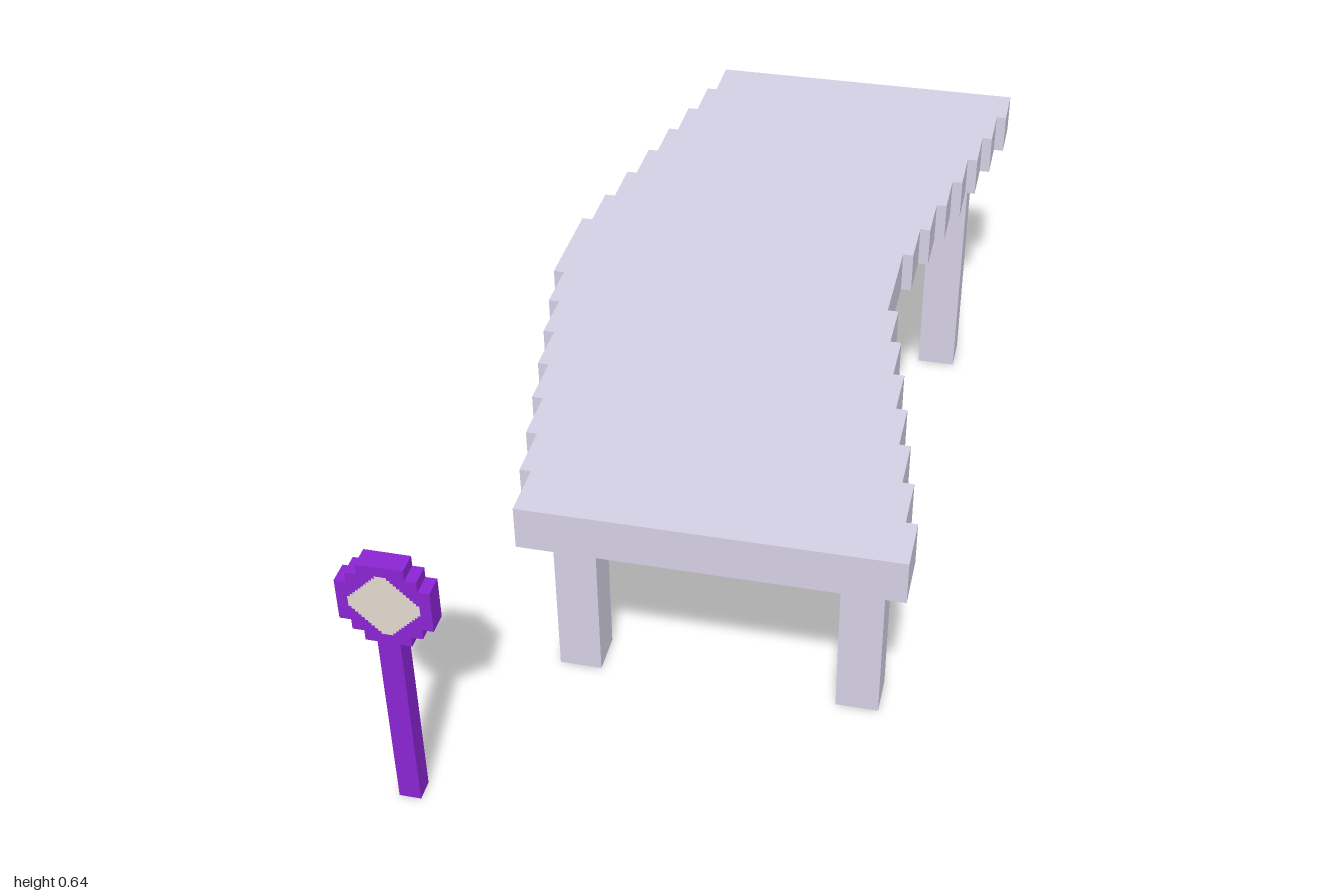
import * as THREE from 'three';

const stone = new THREE.MeshStandardMaterial({ color: 0xd4cfe3 });
stone.name = 'pale lilac';
const purple = new THREE.MeshStandardMaterial({ color: 0x8a25d2 });
purple.name = 'purple';
const cream = new THREE.MeshStandardMaterial({ color: 0xe2d9cd });
cream.name = 'warm grey';

function add(group, name, geometry, material, x, y, z) {
  const mesh = new THREE.Mesh(geometry, material);
  mesh.name = name;
  mesh.position.set(x, y, z);
  group.add(mesh);
}

// Stepped outline extruded to a plate; rows are [left, right], listed upward from v0
function steppedPlate(rows, v0, rowHeight, depth) {
  const right = [], left = [];
  rows.forEach(([l, r], i) => {
    const a = v0 + i * rowHeight, b = a + rowHeight;
    right.push(new THREE.Vector2(r, a), new THREE.Vector2(r, b));
    left.push(new THREE.Vector2(l, a), new THREE.Vector2(l, b));
  });
  // drop corners shared by rows of equal width
  const points = [...right, ...left.reverse()];
  const clean = points.filter((p, i) => {
    const a = points[(i + points.length - 1) % points.length];
    const b = points[(i + 1) % points.length];
    return !p.equals(a) && !(p.x === a.x && p.x === b.x);
  });
  return new THREE.ExtrudeGeometry(new THREE.Shape(clean), { depth, bevelEnabled: false });
}

export function createModel() {
  const model = new THREE.Group();

  // Curved table top in sixteen stepped slices
  const table = new THREE.Group();
  table.name = 'table';
  const slices = [];
  for (let i = 0; i < 16; i++) {
    const shift = 0.0226 * Math.min(i, 15 - i);
    slices.push([-0.22 - shift, 0.514 - shift]);
  }
  const slab = steppedPlate(slices, -0.838, 1.838 / 16, 0.091);
  slab.rotateX(-Math.PI / 2);
  add(table, 'tableTop', slab, stone, 0, 0.553, 0);

  // Four square legs
  for (const x of [-0.196, 0.401])
    for (const z of [0.52, -0.77])
      add(table, 'tableLeg', new THREE.BoxGeometry(0.09, 0.553, 0.09), stone, x, 0.2765, z);
  model.add(table);

  // Standing paddle: post, stepped head and a stepped diamond panel on both faces
  const paddle = new THREE.Group();
  paddle.name = 'paddle';
  const cx = -0.425, cy = 0.507, cell = 0.023;
  add(paddle, 'post', new THREE.BoxGeometry(0.045, 0.415, 0.044), purple, cx, 0.2075, 0.977);
  const headRows = [2, 3, 4, 4, 4, 4, 3, 2].map((n) => [-n * cell, n * cell]);
  add(paddle, 'head', steppedPlate(headRows, -4 * cell, cell, 0.044), purple, cx, cy, 0.955);

  const panelRows = [];
  const step = 0.0058;
  for (let i = 0; i < 24; i++) {
    const n = Math.min(12, 2 + Math.min(i, 23 - i));
    panelRows.push([-n * step, n * step]);
  }
  const panel = steppedPlate(panelRows, -12 * step, step, 0.002);
  add(paddle, 'frontPanel', panel, cream, cx, cy, 0.998);
  add(paddle, 'backPanel', panel, cream, cx, cy, 0.954);
  model.add(paddle);

  return model;
}
